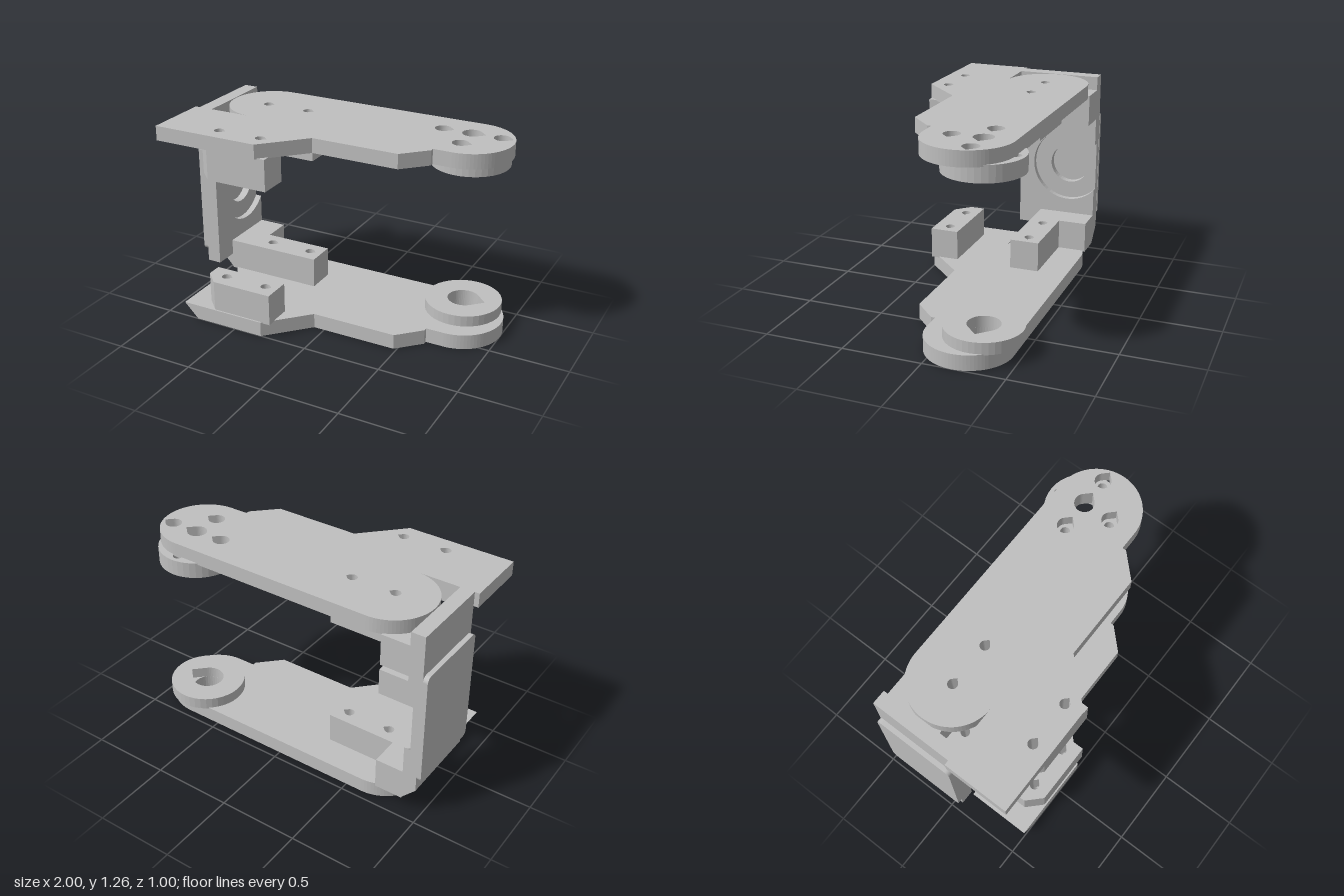
import * as THREE from 'three';

const grey = new THREE.MeshStandardMaterial({ color: 0xc0c0c0 });
grey.name = 'printed grey';

// Round hole, and a teardrop hole pointing to +x (plan coordinates x, z)
function round(x, z, r) {
  return new THREE.Path().absarc(x, -z, r, 0, Math.PI * 2, false);
}
function teardrop(x, z, r) {
  const p = new THREE.Path();
  p.absarc(x, -z, r, Math.PI / 4, Math.PI * 7 / 4, false);
  p.lineTo(x + r * Math.SQRT2, -z);
  p.closePath();
  return p;
}

function mesh(name, geo) {
  const m = new THREE.Mesh(geo, grey);
  m.name = name;
  return m;
}

// Plan outline raised from y0 to y1
function slab(name, shape, y0, y1, holes = []) {
  shape.holes.push(...holes);
  const geo = new THREE.ExtrudeGeometry(shape, { depth: y1 - y0, bevelEnabled: false, curveSegments: 20 });
  geo.rotateX(-Math.PI / 2).translate(0, y0, 0);
  return mesh(name, geo);
}

// Outline in (-z, y) swept from x0 to x1
function sidePanel(name, shape, x0, x1) {
  const geo = new THREE.ExtrudeGeometry(shape, { depth: x1 - x0, bevelEnabled: false, curveSegments: 24 });
  geo.rotateY(Math.PI / 2).translate(x0, 0, 0);
  return mesh(name, geo);
}

// Outline in (x, y) swept from z0 to z1
function prism(name, pts, z0, z1) {
  const shape = new THREE.Shape(pts.map(([x, y]) => new THREE.Vector2(x, y)));
  const geo = new THREE.ExtrudeGeometry(shape, { depth: z1 - z0, bevelEnabled: false });
  geo.translate(0, 0, z0);
  return mesh(name, geo);
}

function plan(pts) {
  return new THREE.Shape(pts.map(([x, z]) => new THREE.Vector2(x, -z)));
}

// Arm outline: rounded bar with a wider front wing starting at wingX
function armShape(wingX) {
  const s = plan([[wingX, 0.085], [wingX, 0.5], [-0.31, 0.5], [-0.07, 0.25], [0.48, 0.25], [0.62, 0.11], [0.62, 0.085]]);
  s.absarc(0.735, 0.1825, 0.2675, -Math.PI / 2, Math.PI / 2, false);
  s.absarc(-0.605, 0.1825, 0.2675, Math.PI / 2, Math.PI * 1.5, false);
  return s;
}

const hub = [0.72, -0.265];
const hubScrews = [[0.535, -0.265], [0.905, -0.265], [0.72, -0.08]];
const blockXs = [-0.62, -0.335];
const blockZs = [-0.17, 0.39];
const boltSpots = blockXs.flatMap(x => blockZs.map(z => [x, z]));

export function createModel() {
  const g = new THREE.Group();
  g.name = 'bracket';

  // Arms
  g.add(slab('upperArm', armShape(-1), 1.17, 1.262, [
    ...boltSpots.map(([x, z]) => teardrop(x, z, 0.03)),
    ...hubScrews.map(([x, z]) => teardrop(x, z, 0.05)),
    teardrop(...hub, 0.06)]));
  g.add(slab('lowerArm', armShape(-0.78), 0, 0.095, [
    ...boltSpots.map(([x, z]) => round(x, z, 0.03)),
    ...hubScrews.map(([x, z]) => round(x, z, 0.03)),
    round(...hub, 0.1)]));
  g.add(prism('lowerArmBevel', [[-0.78, 0], [-0.78, 0.095], [-0.875, 0.095]], 0.085, 0.5));

  // Hub discs at the free ends
  const disc = () => new THREE.Shape().absarc(hub[0], -hub[1], 0.24, 0, Math.PI * 2, false);
  g.add(slab('lowerHubDisc', disc(), 0.09, 0.165, [teardrop(...hub, 0.1)]));
  const discScrews = [...hubScrews, [0.72, -0.45]].map(([x, z]) => round(x, z, 0.03));
  g.add(slab('upperHubDisc', disc(), 1.08, 1.14, [round(...hub, 0.1), ...discScrews]));
  g.add(slab('upperHubDiscBase', disc(), 1.14, 1.18,
    [teardrop(...hub, 0.06), ...discScrews.map(h => h.clone())]));

  // Mounting blocks on both arms
  for (const [side, y0, y1] of [['lower', 0.088, 0.29], ['upper', 0.975, 1.175]]) {
    g.add(slab(side + 'FrontBlock',
      plan([[-0.74, 0.305], [-0.74, 0.4], [-0.65, 0.49], [-0.25, 0.49], [-0.25, 0.305]]),
      y0, y1, blockXs.map(x => teardrop(x, 0.39, 0.03))));
    g.add(slab(side + 'RearBlock',
      plan([[-0.88, -0.445], [-0.88, -0.07], [-0.25, -0.07], [-0.25, -0.26], [-0.7, -0.26], [-0.7, -0.445]]),
      y0, y1, blockXs.map(x => teardrop(x, -0.17, 0.03))));
  }
  // Slanted foot joining wall and lower block
  g.add(prism('wallFoot', [[-0.97, 0.19], [-0.88, 0.095], [-0.88, 0.19]], -0.445, -0.07));

  // Upright wall with a stepped round recess open at the back edge
  const face = new THREE.Shape();
  const a = Math.acos(0.185 / 0.245);
  face.moveTo(-0.085, 0.19);
  face.lineTo(0.445, 0.19);
  face.absarc(0.26, 0.635, 0.245, -a, a, true);
  face.lineTo(0.445, 1.262);
  face.lineTo(-0.085, 1.262);
  g.add(sidePanel('wallFace', face, -0.92, -0.88));
  const core = new THREE.Shape([[-0.085, 0.19], [0.445, 0.19], [0.445, 1.262], [-0.085, 1.262]]
    .map(([u, y]) => new THREE.Vector2(u, y)));
  core.holes.push(new THREE.Path().absarc(0.26, 0.635, 0.132, 0, Math.PI * 2, false));
  g.add(sidePanel('wallCore', core, -0.97, -0.92));

  // Outer cover with rounded corners
  const cover = new THREE.Shape();
  const r = 0.035, u0 = -0.085, u1 = 0.447, v0 = 0.265, v1 = 1.005;
  cover.absarc(u1 - r, v0 + r, r, -Math.PI / 2, 0, false);
  cover.absarc(u1 - r, v1 - r, r, 0, Math.PI / 2, false);
  cover.absarc(u0 + r, v1 - r, r, Math.PI / 2, Math.PI, false);
  cover.absarc(u0 + r, v0 + r, r, Math.PI, Math.PI * 1.5, false);
  g.add(sidePanel('wallCover', cover, -1, -0.97));

  return g;
}
